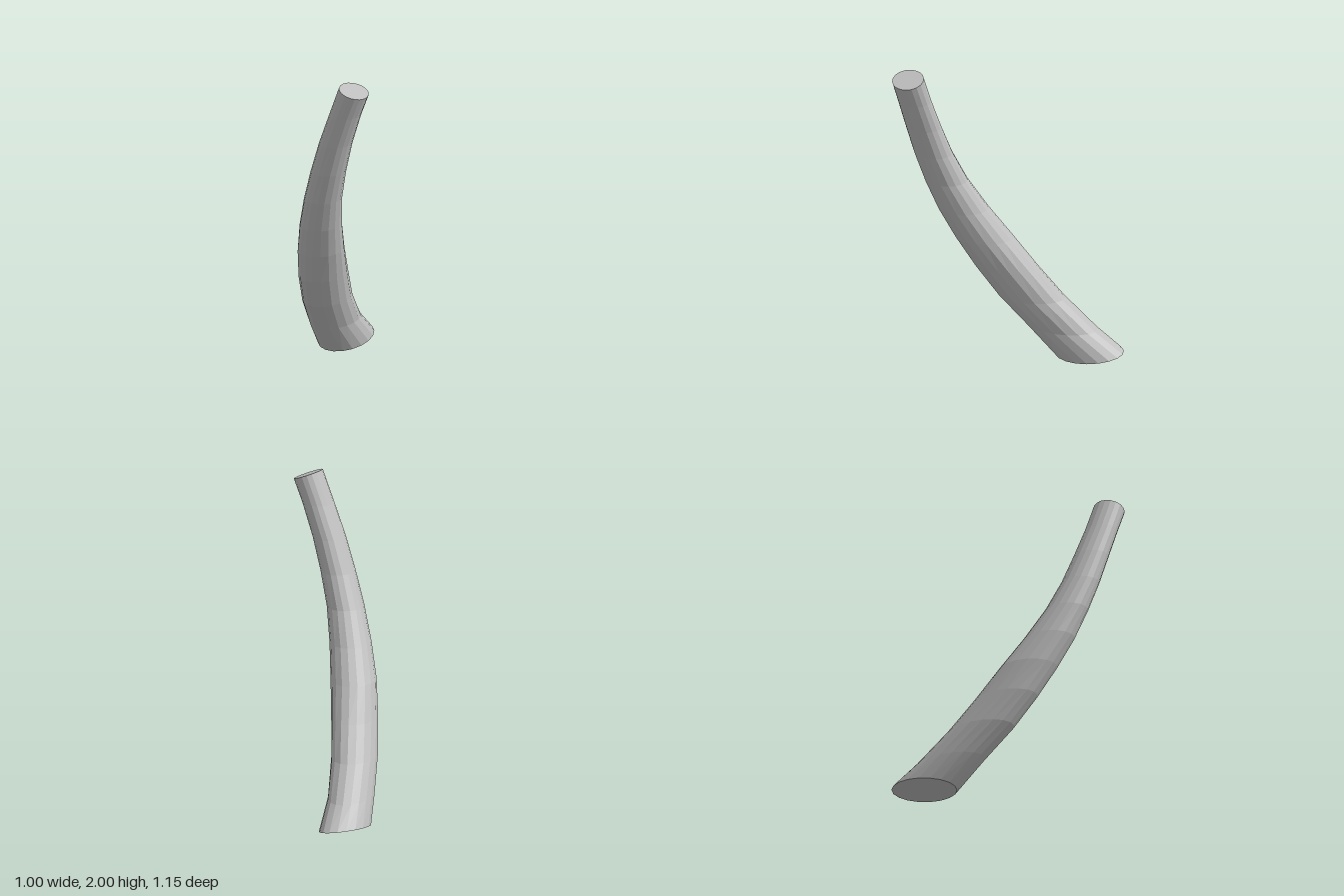
import * as THREE from 'three';

const SIDES = 18;

// Cross-sections from base to tip: height, x min, x max, z min, z max
const SECTIONS = [
  [0.04, -0.5, -0.22, -0.575, -0.13],
  [0.2, -0.445, -0.165, -0.41, 0.03],
  [0.4, -0.365, -0.08, -0.225, 0.19],
  [0.6, -0.285, 0.0, -0.085, 0.31],
  [0.8, -0.21, 0.08, 0.05, 0.4],
  [1.0, -0.115, 0.15, 0.17, 0.475],
  [1.2, -0.02, 0.215, 0.265, 0.525],
  [1.4, 0.07, 0.285, 0.32, 0.555],
  [1.6, 0.155, 0.355, 0.35, 0.57],
  [1.8, 0.245, 0.435, 0.367, 0.575],
  [1.968, 0.33, 0.498, 0.373, 0.575],
].map(([y, x0, x1, z0, z1]) => ({
  y, x: (x0 + x1) / 2, z: (z0 + z1) / 2, hx: (x1 - x0) / 2, hz: (z1 - z0) / 2,
}));

// Skewed ellipse: a slanted round stem sliced level, with slanted cuts at both ends
function ring(i) {
  const last = SECTIONS.length - 1;
  const s = SECTIONS[i];
  const a = SECTIONS[Math.max(i - 1, 0)], b = SECTIONS[Math.min(i + 1, last)];
  const sx = (b.x - a.x) / (b.y - a.y), sz = (b.z - a.z) / (b.y - a.y);
  const skew = i === 0 ? 0.08 : (sx * sz) / Math.sqrt((1 + sx * sx) * (1 + sz * sz));
  const tilt = i === 0 ? [-0.17, -0.11] : i === last ? [-0.38, 0] : [0, 0];
  return Array.from({ length: SIDES }, (_, j) => {
    const t = (j / SIDES) * Math.PI * 2;
    const dx = s.hx * Math.cos(t);
    const dz = s.hz * (skew * Math.cos(t) + Math.sqrt(1 - skew * skew) * Math.sin(t));
    return [s.x + dx, s.y + tilt[0] * dx + tilt[1] * dz, s.z + dz];
  });
}

function geometry(points, index) {
  const g = new THREE.BufferGeometry();
  g.setAttribute('position', new THREE.Float32BufferAttribute(points.flat(), 3));
  g.setIndex(index);
  g.computeVertexNormals();
  return g;
}

// Tube wall joining neighbouring rings
function wall(rings) {
  const index = [];
  for (let i = 0; i < rings.length - 1; i++) {
    for (let j = 0; j < SIDES; j++) {
      const k = (j + 1) % SIDES;
      const a = i * SIDES + j, b = i * SIDES + k;
      index.push(a, a + SIDES, b, b, a + SIDES, b + SIDES);
    }
  }
  return geometry(rings.flat(), index);
}

// Flat end face as a fan
function cap(points, up) {
  const index = [];
  for (let j = 1; j < SIDES - 1; j++) index.push(0, ...(up ? [j + 1, j] : [j, j + 1]));
  return geometry(points, index);
}

export function createModel() {
  const group = new THREE.Group();
  group.name = 'curvedHorn';
  const grey = new THREE.MeshStandardMaterial({ color: 0xbfbfbf, flatShading: true });
  grey.name = 'grey';

  const rings = SECTIONS.map((_, i) => ring(i));
  const add = (name, geo) => {
    const mesh = new THREE.Mesh(geo, grey);
    mesh.name = name;
    group.add(mesh);
  };
  add('stem', wall(rings));
  add('baseCut', cap(rings[0], false));
  add('tipCut', cap(rings[rings.length - 1], true));
  return group;
}
